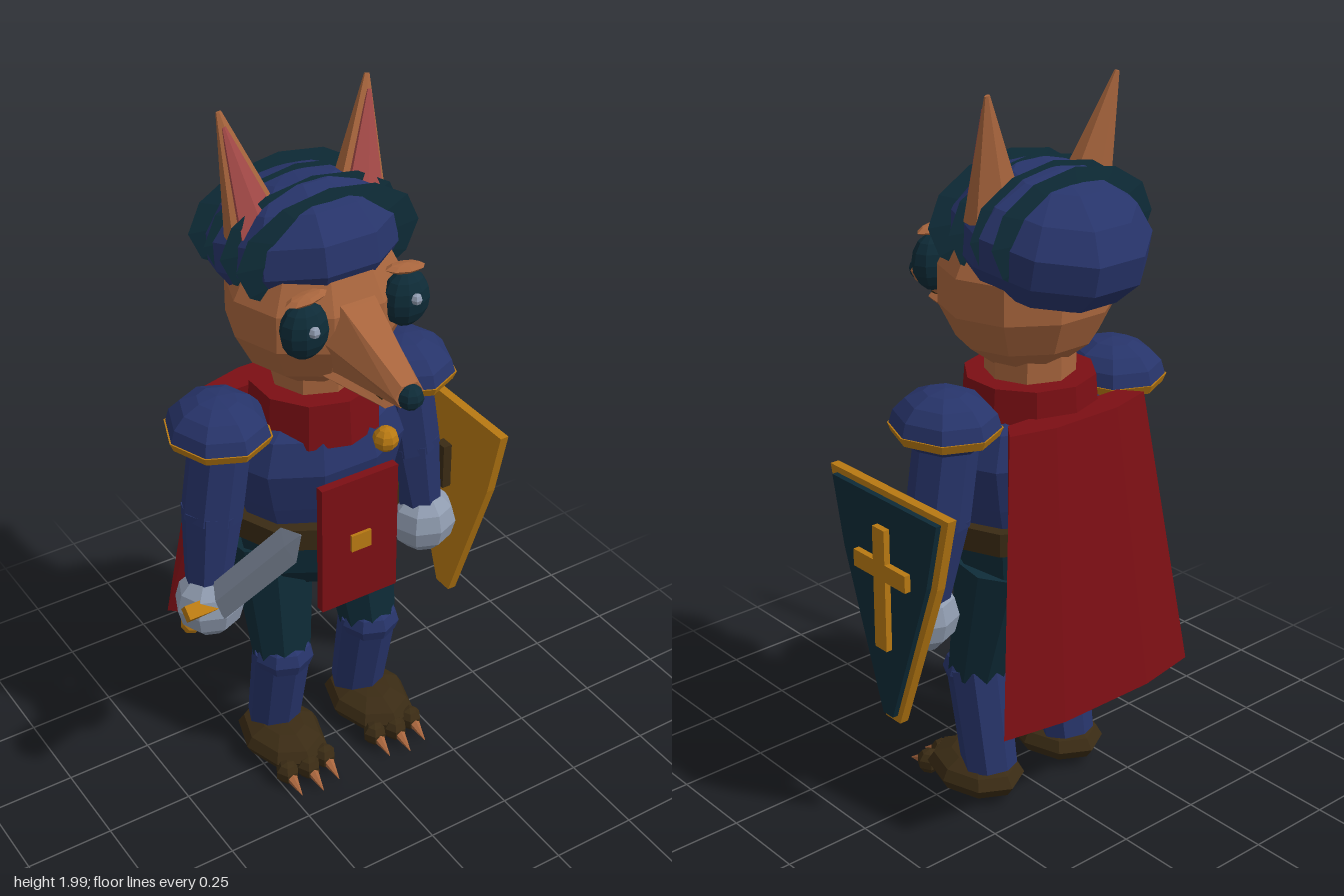
import * as THREE from 'three';

const mat = (name, color) => new THREE.MeshStandardMaterial({ name, color, flatShading: true });
const M = {
  blue: mat('navy blue', 0x27346a),
  teal: mat('dark teal', 0x0e2b37),
  fur: mat('fur brown', 0xa8653d),
  pink: mat('ear pink', 0xa54a48),
  red: mat('dark red', 0x7c0f14),
  gold: mat('gold', 0xb87912),
  steel: mat('steel', 0x909cb0),
  hide: mat('dark brown', 0x3a2b14),
};

export function createModel() {
  const root = new THREE.Group();
  root.name = 'armouredFox';
  const body = new THREE.Group();
  body.name = 'body';
  body.position.x = -0.018;
  root.add(body);

  const add = (name, geo, material, pos = [0, 0, 0], parent = body) => {
    const m = new THREE.Mesh(geo, material);
    m.name = name;
    m.position.set(...pos);
    parent.add(m);
    return m;
  };
  const ball = (name, material, pos, r, ws = 8, hs = 6, parent = body) => {
    const m = add(name, new THREE.SphereGeometry(1, ws, hs), material, pos, parent);
    m.scale.set(...r);
    return m;
  };
  const box = (name, material, pos, size, parent = body) =>
    add(name, new THREE.BoxGeometry(...size), material, pos, parent);
  // tapered limb or cone between two points; flat squeezes its depth
  const limb = (name, material, a, b, ra, rb, sides = 8, flat = 1) => {
    const p = new THREE.Vector3(...a), q = new THREE.Vector3(...b);
    const d = q.clone().sub(p);
    const m = add(name, new THREE.CylinderGeometry(rb, ra, d.length(), sides), material,
      p.clone().add(q).multiplyScalar(0.5).toArray());
    m.quaternion.setFromUnitVectors(new THREE.Vector3(0, 1, 0), d.normalize());
    m.scale.z = flat;
    return m;
  };
  // closed skin over cross-sections, rings counter-clockwise seen from the last one
  const loft = (rings) => {
    const v = [], n = rings[0].length;
    const tri = (...p) => p.forEach((q) => v.push(...q));
    for (let k = 0; k + 1 < rings.length; k++) {
      for (let i = 0; i < n; i++) {
        const j = (i + 1) % n, a = rings[k], b = rings[k + 1];
        tri(a[i], a[j], b[j]);
        tri(a[i], b[j], b[i]);
      }
    }
    const s = rings[0], e = rings[rings.length - 1];
    for (let i = 1; i + 1 < n; i++) {
      tri(s[0], s[i + 1], s[i]);
      tri(e[0], e[i], e[i + 1]);
    }
    const g = new THREE.BufferGeometry();
    g.setAttribute('position', new THREE.Float32BufferAttribute(v, 3));
    g.computeVertexNormals();
    return g;
  };
  const lathe = (name, material, pts, sides, pos, depth) => {
    const g = new THREE.LatheGeometry(pts.map((p) => new THREE.Vector2(...p)), sides);
    g.rotateY(Math.PI / sides);
    const m = add(name, g, material, pos);
    m.scale.z = depth;
    return m;
  };

  // Head, snout and jaw
  ball('head', M.fur, [0, 1.48, -0.07], [0.245, 0.23, 0.225], 10, 7);
  const muzzle = (z, w, y0, y1) => [
    [w * 0.6, y0, z], [w, (y0 + y1) / 2, z], [w * 0.55, y1, z],
    [-w * 0.55, y1, z], [-w, (y0 + y1) / 2, z], [-w * 0.6, y0, z]];
  add('snout', loft([muzzle(0.04, 0.115, 1.35, 1.59), muzzle(0.14, 0.09, 1.36, 1.55),
    muzzle(0.36, 0.042, 1.375, 1.435)]), M.fur);
  add('lowerJaw', loft([muzzle(0.05, 0.085, 1.31, 1.37), muzzle(0.29, 0.038, 1.335, 1.365)]), M.fur);
  box('mouth', M.hide, [0, 1.366, 0.21], [0.06, 0.012, 0.15]);
  ball('nose', M.teal, [0, 1.402, 0.365], [0.035, 0.034, 0.034]);
  add('neck', new THREE.CylinderGeometry(0.12, 0.12, 0.14, 8), M.fur, [0, 1.24, -0.08]);

  // Helmet with four ridges
  const helmet = ball('helmet', M.blue, [0, 1.62, -0.15], [0.25, 0.175, 0.28], 10, 7);
  helmet.rotation.x = -0.2;
  [0, -0.08, -0.16, -0.24].forEach((z) => {
    const ridge = ball('helmetRidge', M.teal, [0, 1.65, z], [0.268, 0.016, 0.158], 12, 4);
    ridge.rotation.x = Math.PI / 2;
  });

  // Collar, torso, belt, hips
  add('collar', new THREE.CylinderGeometry(0.175, 0.185, 0.13, 10), M.red, [0, 1.175, -0.08]);
  lathe('torso', M.blue, [[0, 0.8], [0.2, 0.82], [0.235, 0.92], [0.265, 1.04], [0.23, 1.13], [0.12, 1.19], [0, 1.19]],
    10, [0, 0, -0.08], 0.73);
  lathe('belt', M.hide, [[0, 0.8], [0.25, 0.8], [0.25, 0.865], [0, 0.865]], 10, [0, 0, -0.08], 0.78);
  lathe('hips', M.teal, [[0, 0.62], [0.15, 0.63], [0.225, 0.71], [0.235, 0.81], [0, 0.81]], 10, [0, 0, -0.08], 0.8);

  // Tabard, buckle and brooch
  box('tabard', M.red, [0, 0.83, 0.135], [0.238, 0.4, 0.026]);
  box('buckle', M.gold, [0, 0.83, 0.151], [0.062, 0.052, 0.012]);
  ball('brooch', M.gold, [0.1, 1.1, 0.115], [0.036, 0.036, 0.036]);

  // Cape, widening and sloping back toward the hem
  const capeRing = (y, w, dz) => [[0.27, -0.305], [0.333, -0.362], [0.15, -0.395], [-0.15, -0.395],
    [-0.333, -0.362], [-0.27, -0.305]].map(([x, z]) => [x * w, y, z + dz]);
  add('cape', loft([capeRing(0.38, 1, 0), capeRing(1.17, 0.7, 0.095)]), M.red);

  [-1, 1].forEach((s) => {
    // Ears
    limb('ear', M.fur, [s * 0.15, 1.69, -0.11], [s * 0.212, 2, -0.16], 0.088, 0.008, 6, 0.55);
    limb('innerEar', M.pink, [s * 0.152, 1.7, -0.085], [s * 0.208, 1.965, -0.142], 0.066, 0.006, 6, 0.45);

    // Eyes
    ball('eye', M.teal, [s * 0.15, 1.515, 0.12], [0.067, 0.078, 0.05], 10, 8);
    ball('eyeGlint', M.steel, [s * 0.15, 1.532, 0.168], [0.016, 0.016, 0.016], 6, 4);
    const brow = ball('brow', M.fur, [s * 0.145, 1.603, 0.122], [0.06, 0.013, 0.028], 8, 4);
    brow.rotation.z = -s * 0.12;

    // Shoulder guards
    const dome = add('shoulderGuard', new THREE.SphereGeometry(1, 8, 4, 0, Math.PI * 2, 0, Math.PI / 2),
      M.blue, [s * 0.29, 1.16, -0.085]);
    dome.scale.set(0.138, 0.1, 0.152);
    const rim = add('shoulderRim', new THREE.CylinderGeometry(1, 0.93, 0.024, 8), M.gold, [s * 0.29, 1.15, -0.085]);
    rim.scale.set(0.142, 1, 0.156);
    const under = add('shoulderLining', new THREE.CylinderGeometry(0.9, 0.65, 0.03, 8), M.blue, [s * 0.29, 1.127, -0.085]);
    under.scale.set(0.138, 1, 0.15);

    // Arms and gloves
    limb('upperArm', M.blue, [s * 0.28, 1.16, -0.085], [s * 0.32, 0.9, -0.085], 0.085, 0.085);
    limb('forearm', M.blue, [s * 0.318, 0.92, -0.085], [s * 0.35, 0.68, -0.07], 0.085, 0.062);
    ball('glove', M.steel, [s * 0.352, 0.635, -0.06], [0.098, 0.1, 0.095]);

    // Legs
    limb('thigh', M.teal, [s * 0.13, 0.74, -0.1], [s * 0.145, 0.38, -0.03], 0.118, 0.082);
    ball('knee', M.blue, [s * 0.145, 0.385, -0.022], [0.088, 0.068, 0.088]);
    limb('shin', M.blue, [s * 0.145, 0.4, -0.03], [s * 0.145, 0.1, -0.085], 0.085, 0.077);

    // Feet with three clawed toes
    ball('foot', M.hide, [s * 0.15, 0.07, -0.03], [0.118, 0.06, 0.157]);
    [-0.062, 0, 0.062].forEach((dx, i) => {
      const z = i === 1 ? 0.115 : 0.1;
      ball('toe', M.hide, [s * 0.15 + dx, 0.05, z], [0.036, 0.036, 0.038], 6, 5);
      limb('claw', M.fur, [s * 0.15 + dx, 0.047, z + 0.02], [s * 0.15 + dx, 0.022, z + 0.082], 0.018, 0.001, 6);
    });
  });

  // Sword held in the right hand
  const sword = new THREE.Group();
  sword.name = 'sword';
  sword.position.set(-0.36, 0.64, -0.027);
  sword.rotation.x = 0.715;
  body.add(sword);
  ball('pommel', M.gold, [0, -0.21, 0], [0.03, 0.03, 0.03], 8, 6, sword);
  add('grip', new THREE.CylinderGeometry(0.018, 0.018, 0.24, 8), M.hide, [0, -0.1, 0], sword);
  box('guard', M.gold, [0, 0.035, 0], [0.19, 0.032, 0.04], sword);
  const bladeRing = (y, t, w) => [[0, y, w], [t, y, 0], [0, y, -w], [-t, y, 0]];
  add('blade', loft([bladeRing(0.04, 0.013, 0.05), bladeRing(0.62, 0.012, 0.047),
    bladeRing(0.71, 0.001, 0.002)]), M.steel, [0, 0, 0], sword);

  // Shield on the left arm, facing outward
  const shield = new THREE.Group();
  shield.name = 'shield';
  shield.position.set(0.43, 0, -0.057);
  shield.rotation.y = Math.PI / 2;
  body.add(shield);
  const plate = (w, top, mid, tip, low, depth) => {
    const pts = [[-w, top], [-tip, low], [tip, low], [w, top]].map((p) => new THREE.Vector2(...p));
    pts.splice(1, 0, new THREE.Vector2(-w * 0.8, mid));
    pts.splice(4, 0, new THREE.Vector2(w * 0.8, mid));
    return new THREE.ExtrudeGeometry(new THREE.Shape(pts), { depth, bevelEnabled: false });
  };
  add('shieldRim', plate(0.24, 1.015, 0.81, 0.03, 0.355, 0.026), M.gold, [0, 0, 0], shield);
  add('shieldFace', plate(0.212, 0.998, 0.81, 0.02, 0.375, 0.022), M.teal, [0, 0, 0.02], shield);
  box('crossUpright', M.gold, [0, 0.752, 0.05], [0.048, 0.345, 0.02], shield);
  box('crossBar', M.gold, [0, 0.805, 0.05], [0.212, 0.048, 0.02], shield);
  box('armStrap', M.hide, [0, 0.8, -0.012], [0.04, 0.14, 0.03], shield);

  return root;
}
